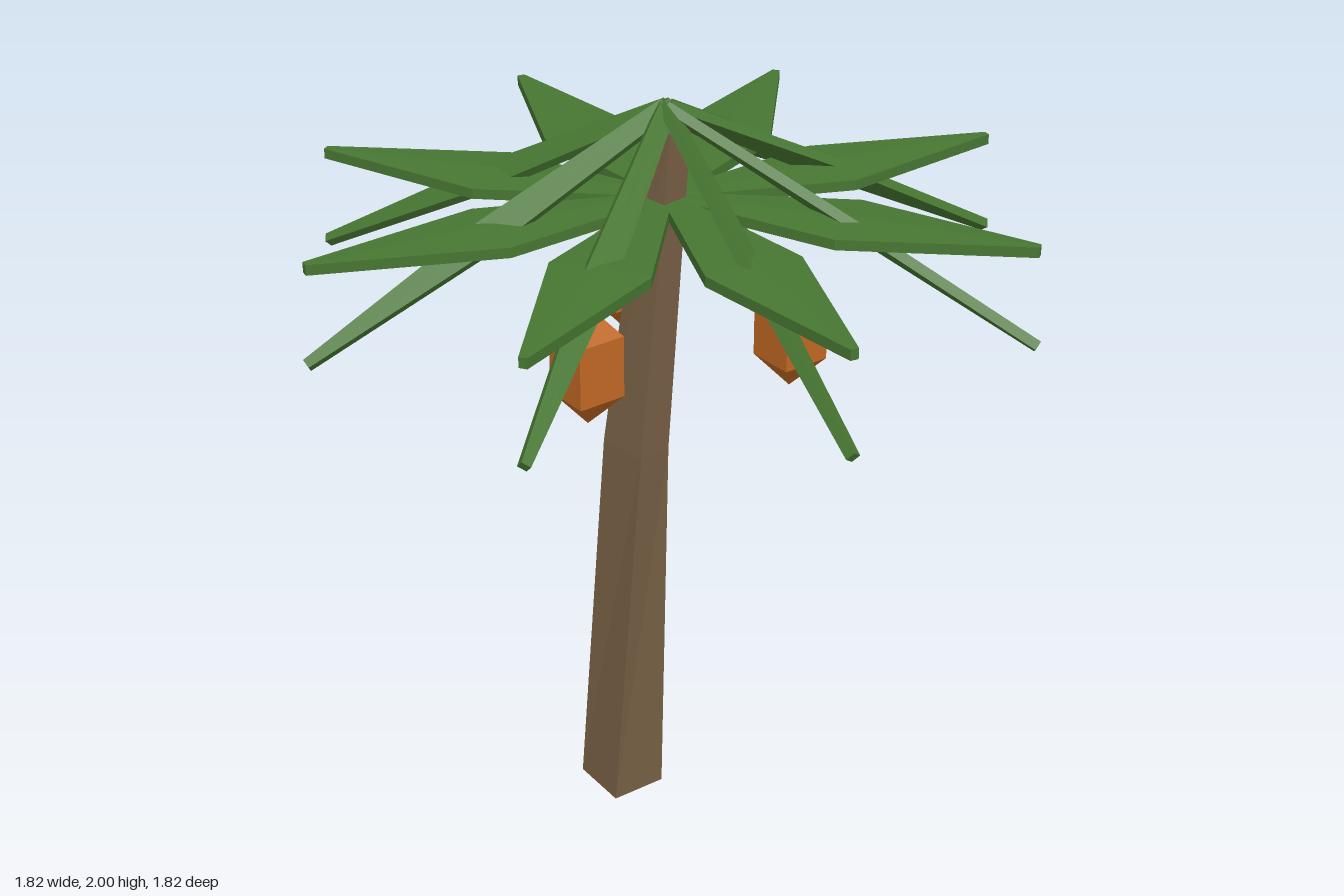
import * as THREE from 'three';

const material = (name, color) => Object.assign(new THREE.MeshStandardMaterial({ color }), { name });

// Give every face its own normal for a low-poly look
function faceted(geometry) {
  const flat = geometry.index ? geometry.toNonIndexed() : geometry;
  flat.computeVertexNormals();
  return flat;
}

function part(name, geometry, mat) {
  const mesh = new THREE.Mesh(geometry, mat);
  mesh.name = name;
  return mesh;
}

// Move each vertex of a geometry by a rule
function reshape(geometry, rule) {
  const pos = geometry.attributes.position;
  const v = new THREE.Vector3();
  for (let i = 0; i < pos.count; i++) {
    rule(v.fromBufferAttribute(pos, i));
    pos.setXYZ(i, v.x, v.y, v.z);
  }
  return faceted(geometry);
}

// Leaf along +x: narrow root, wide middle, narrow tip, optional raised midrib
function leafGeometry(length, widths, edge, ridge) {
  return reshape(new THREE.BoxGeometry(2, 2, 2, 2, 1, 2), (v) => {
    const section = Math.round(v.x) + 1;
    const onRib = Math.abs(v.z) < 0.01 && section === 1;
    v.set((section * length) / 2, v.y * (onRib ? ridge : edge), v.z * widths[section]);
  });
}

// Square trunk, bent at the middle ring
function trunkGeometry() {
  const rings = [
    { x: -0.125, y: 0.009, z: 0, r: 0.111, skew: 0 },
    { x: -0.075, y: 1.083, z: 0.021, r: 0.083, skew: 0.025 },
    { x: 0.006, y: 1.94, z: 0.005, r: 0.053, skew: 0.012 },
  ];
  return reshape(new THREE.CylinderGeometry(1, 1, 2, 4, 2), (v) => {
    const ring = rings[Math.round(v.y) + 1];
    const x = v.x * ring.r + (v.z > 0.5 ? ring.skew : 0);
    v.set(ring.x + x, ring.y - x * 0.05, ring.z + v.z * ring.r);
  });
}

export function createModel() {
  const bark = material('bark brown', 0x786045);
  const stalkBrown = material('stalk brown', 0x73563f);
  const green = material('leaf green', 0x477632);
  const orange = material('fruit orange', 0xc06823);

  const palm = new THREE.Group();
  palm.name = 'palmTree';
  palm.add(part('trunk', trunkGeometry(), bark));

  // Crown: eight level wide leaves and eight drooping narrow blades
  const wideLeaf = leafGeometry(0.907, [0.018, 0.123, 0.01], 0.013, 0.022);
  const drop = 0.475, reach = 0.92;
  const blade = leafGeometry(Math.hypot(drop, reach), [0.022, 0.038, 0.012], 0.012, 0.012);
  for (let i = 0; i < 8; i++) {
    const yaw = -0.195 + (i * Math.PI) / 4;
    const leaf = part('wideLeaf', wideLeaf, green);
    leaf.position.y = 1.75;
    leaf.rotation.y = yaw;
    const narrow = part('narrowLeaf', blade, green);
    narrow.position.y = 1.983;
    narrow.rotation.set(-0.65, yaw, -Math.atan2(drop, reach), 'YZX');
    palm.add(leaf, narrow);
  }

  // Three hanging fruits with stalks
  const fruitProfile = [[0, -0.16], [0.09, -0.08], [0.09, 0.08], [0, 0.16]];
  const fruitGeometry = faceted(
    new THREE.LatheGeometry(fruitProfile.map(([x, y]) => new THREE.Vector2(x, y)), 4));
  const up = new THREE.Vector3(0, 1, 0);
  for (let i = 0; i < 3; i++) {
    const angle = (i * Math.PI * 2) / 3;
    const at = (r, y) => new THREE.Vector3(r * Math.cos(angle), y, r * Math.sin(angle));
    const fruit = part('fruit', fruitGeometry, orange);
    fruit.position.copy(at(0.308, 1.43));
    const top = at(0.01, 1.93), end = at(0.302, 1.5);
    const axis = top.clone().sub(end);
    const stalk = part('stalk',
      faceted(new THREE.CylinderGeometry(0.017, 0.017, axis.length(), 4)), stalkBrown);
    stalk.position.copy(top).add(end).multiplyScalar(0.5);
    stalk.quaternion.setFromUnitVectors(up, axis.normalize());
    palm.add(fruit, stalk);
  }
  return palm;
}
